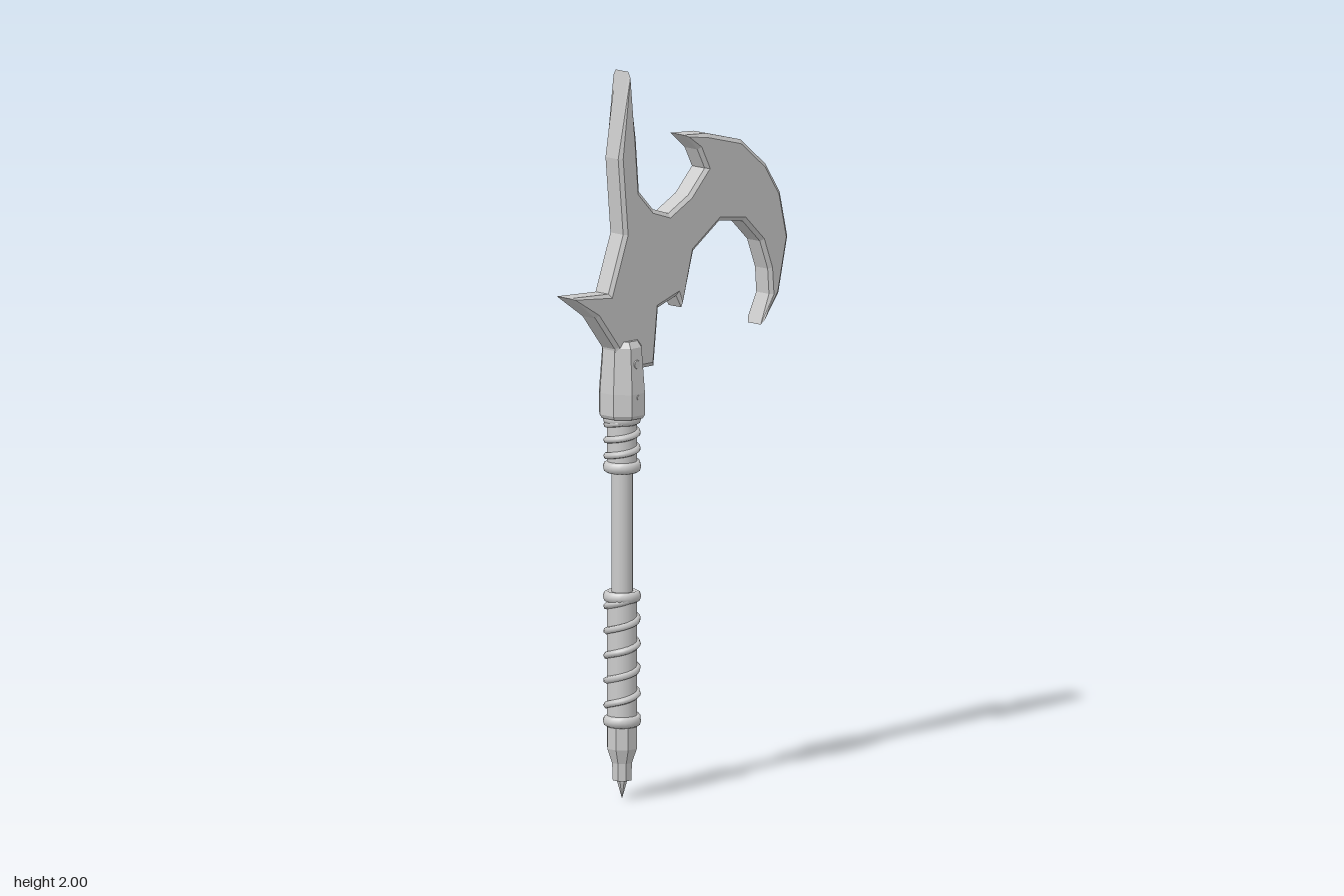
import * as THREE from 'three';

const AXIS_X = -0.193; // the shaft stands to one side of the blade's centre

export function createModel() {
  const model = new THREE.Group();
  model.name = 'halberd';
  const steel = new THREE.MeshStandardMaterial({ color: 0xcbcbcb });
  steel.name = 'light grey steel';

  const add = (name, geometry, parent = model) => {
    const mesh = new THREE.Mesh(geometry, steel);
    mesh.name = name;
    parent.add(mesh);
    return mesh;
  };
  // Faceted turned part from [radius, height] pairs, bottom to top
  const turned = (name, profile, parent) => {
    const points = profile.map(([r, y]) => new THREE.Vector2(r, y));
    const geometry = new THREE.LatheGeometry(points, 8, Math.PI / 8).toNonIndexed();
    geometry.computeVertexNormals();
    return add(name, geometry, parent);
  };

  // Blade: top spike, crescent, lower barb, tang and back spike, clockwise
  const outline = [
    [-0.193, 2], [-0.165, 1.81], [-0.153, 1.665], [-0.1, 1.61], [-0.04, 1.59],
    [0.037, 1.63], [0.1, 1.695], [0.072, 1.75], [0.018, 1.797], [0.107, 1.79],
    [0.237, 1.755], [0.333, 1.675], [0.388, 1.59], [0.417, 1.465], [0.383, 1.315],
    [0.315, 1.235], [0.347, 1.315], [0.342, 1.385], [0.312, 1.465], [0.245, 1.53],
    [0.155, 1.543], [0.055, 1.475], [0.01, 1.325], [-0.01, 1.36], [-0.08, 1.337],
    [-0.097, 1.18], [-0.23, 1.18], [-0.245, 1.245], [-0.32, 1.34], [-0.419, 1.408],
    [-0.27, 1.4], [-0.213, 1.555], [-0.232, 1.765],
  ].map(([x, y]) => new THREE.Vector2(x, y));
  const bladeGeometry = new THREE.ExtrudeGeometry(new THREE.Shape(outline), {
    depth: 0.048, bevelEnabled: true, bevelThickness: 0.008,
    bevelSize: 0.011, bevelOffset: -0.011, bevelSegments: 1,
  });
  bladeGeometry.translate(0, 0, -0.024);
  add('blade', bladeGeometry);

  const handle = new THREE.Group();
  handle.name = 'handle';
  handle.position.x = AXIS_X;
  model.add(handle);

  // Eight-sided socket that grips the tang
  const socket = turned('socket', [
    [0, 1.05], [0.062, 1.05], [0.068, 1.06], [0.068, 1.12],
    [0.058, 1.245], [0.046, 1.262], [0, 1.262],
  ], handle);
  socket.scale.x = 0.94;

  // Low rivets on the front and back of the socket
  for (const side of [1, -1]) {
    for (const [y, z, r] of [[1.2, 0.056, 0.014], [1.11, 0.062, 0.008]]) {
      const rivet = add('rivet', new THREE.CylinderGeometry(r * 0.8, r, 0.006, 12), handle);
      rivet.rotation.x = side * Math.PI / 2;
      rivet.position.set(0, y, side * z);
    }
  }

  const shaft = add('shaft', new THREE.CylinderGeometry(0.029, 0.029, 0.9, 16), handle);
  shaft.position.y = 0.62;

  // Bound grip: core, end rings and a cord wound up around it
  const binding = (name, bottom, top, turns, ringHeights) => {
    const group = new THREE.Group();
    group.name = name;
    handle.add(group);
    const core = add('core', new THREE.CylinderGeometry(0.041, 0.041, top - bottom, 16), group);
    core.position.y = (bottom + top) / 2;
    for (const y of ringHeights) {
      const ring = add('ring', new THREE.TorusGeometry(0.041, 0.011, 8, 20), group);
      ring.rotation.x = Math.PI / 2;
      ring.position.y = y;
      ring.scale.z = 1.4;
    }
    const steps = turns * 12;
    const points = [];
    for (let i = 0; i <= steps; i++) {
      const t = i / steps, a = t * turns * Math.PI * 2;
      points.push(new THREE.Vector3(
        Math.sin(a) * 0.041, bottom + 0.015 + t * (top - bottom - 0.03), Math.cos(a) * 0.041));
    }
    const path = new THREE.CatmullRomCurve3(points);
    add('cord', new THREE.TubeGeometry(path, steps * 2, 0.01, 6), group);
  };
  binding('upperBinding', 0.9, 1.06, 3, [0.913, 1.045]);
  binding('lowerGrip', 0.2, 0.57, 5, [0.215, 0.557]);

  // Pommel tapering to a collar, then the ground spike
  turned('pommel', [
    [0, 0.052], [0.027, 0.052], [0.029, 0.1], [0.043, 0.14], [0.043, 0.205], [0, 0.205],
  ], handle);
  turned('groundSpike', [[0, 0], [0.014, 0.047], [0.014, 0.056]], handle);

  return model;
}
